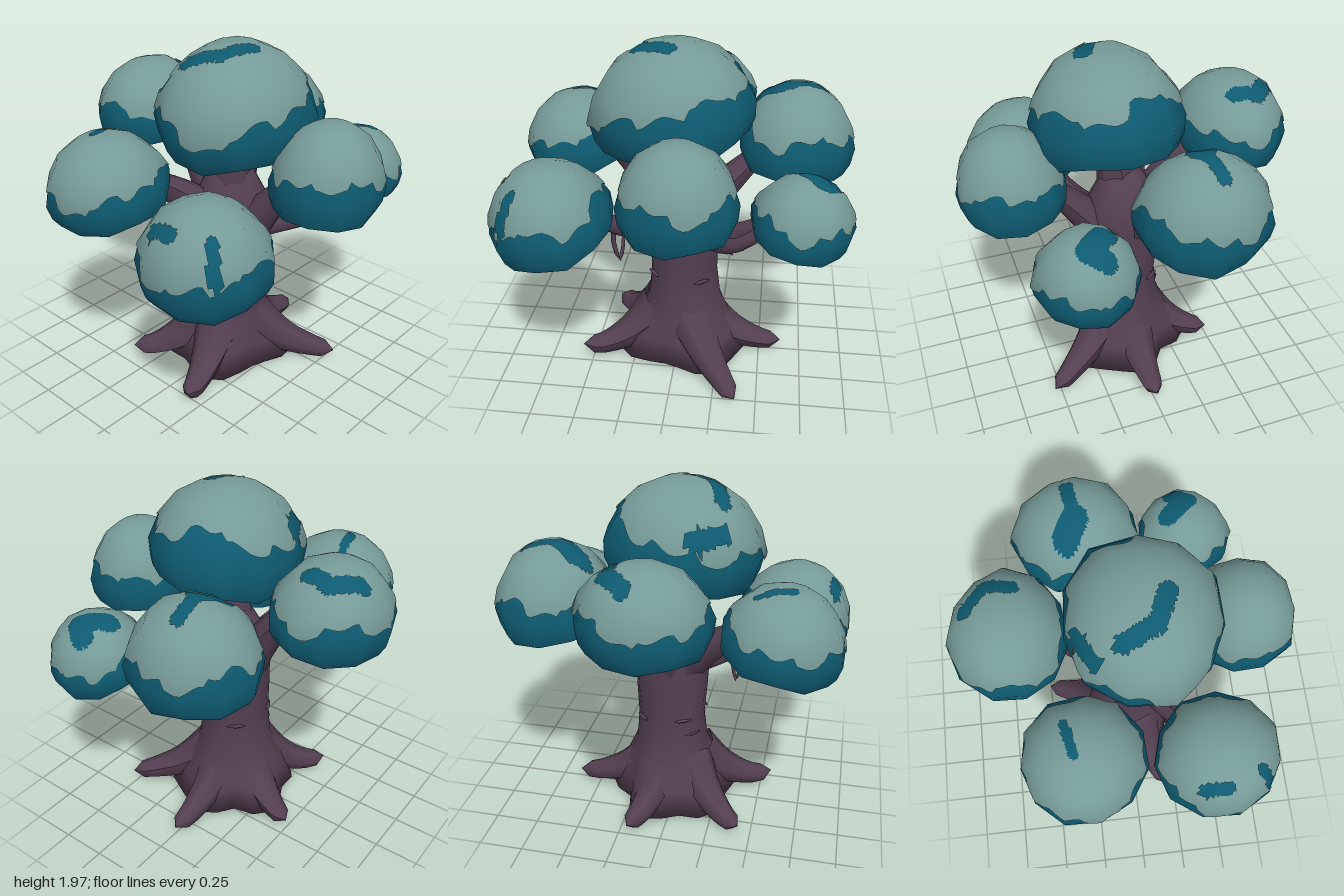
import * as THREE from 'three';

const bark = new THREE.MeshStandardMaterial({ color: 0x533f50, side: THREE.DoubleSide });
bark.name = 'bark';
const leaf = new THREE.MeshStandardMaterial({ color: 0x0e5b72, side: THREE.DoubleSide });
leaf.name = 'deepTealLeaf';
const pale = new THREE.MeshStandardMaterial({ color: 0x759a97, side: THREE.DoubleSide });
pale.name = 'paleLeaf';

// seeded random numbers
function seeded(seed) {
  let s = seed * 7919 + 13;
  return () => (s = (s * 16807) % 2147483647) / 2147483647;
}

function part(name, geometry, material) {
  const mesh = new THREE.Mesh(geometry, material);
  mesh.name = name;
  return mesh;
}

// closed rings from top to bottom; point(i, j) gives a position, keep(point) may leave gaps
function rings(rows, cols, point, keep = () => true) {
  const pos = [], index = [], pts = [];
  for (let i = 0; i <= rows; i++) for (let j = 0; j < cols; j++) {
    const p = point(i, j);
    pts.push(p);
    pos.push(p.x, p.y, p.z);
  }
  for (let i = 0; i < rows; i++) for (let j = 0; j < cols; j++) {
    const a = i * cols + j, c = i * cols + (j + 1) % cols, b = a + cols, d = c + cols;
    const mid = pts[a].clone().add(pts[d]).multiplyScalar(0.5);
    if (keep(mid)) index.push(a, c, b, c, d, b);
  }
  const g = new THREE.BufferGeometry();
  g.setAttribute('position', new THREE.Float32BufferAttribute(pos, 3));
  g.setIndex(index);
  g.computeVertexNormals();
  return g;
}

// tapered tube through points, closed to a blunt tip, flattened on a floor
function limb(name, points, r0, r1, floor = -1, sides = 7) {
  const curve = new THREE.CatmullRomCurve3(points.map(p => new THREE.Vector3(...p)));
  const n = 9, g = new THREE.TubeGeometry(curve, n, 1, sides);
  const pos = g.attributes.position, v = new THREE.Vector3();
  for (let k = 0; k < pos.count; k++) {
    const i = Math.floor(k / (sides + 1)), c = curve.getPointAt(i / n);
    const r = i === n ? 0.001 : THREE.MathUtils.lerp(r0, r1, Math.pow(i / (n - 1), 0.8));
    v.fromBufferAttribute(pos, k).sub(c).multiplyScalar(r).add(c);
    pos.setXYZ(k, v.x, Math.max(v.y, floor), v.z);
  }
  g.computeVertexNormals();
  return part(name, g, bark);
}

// roots: tip x, tip z, tip height, floor
const ROOTS = [
  [0.63, -0.01, 0.08, 0.04], [0.38, 0.54, 0.06, 0], [-0.56, 0.2, 0.1, 0.03],
  [-0.43, -0.38, 0.09, 0.03], [0.2, -0.5, 0.08, 0.02],
];

function trunk() {
  const group = new THREE.Group();
  group.name = 'trunk';
  // radius and height of each ring, with the base swelling toward the roots
  const profile = [[0.01, 1.32], [0.12, 1.25], [0.2, 1.1], [0.21, 0.98], [0.205, 0.8], [0.195, 0.6],
    [0.205, 0.42], [0.225, 0.3], [0.25, 0.18], [0.27, 0.04], [0.01, 0.04]];
  const angles = ROOTS.map(r => Math.atan2(r[1], r[0]));
  group.add(part('trunkBody', rings(profile.length - 1, 20, (i, j) => {
    const [r, y] = profile[i], a = j / 20 * Math.PI * 2;
    const lobe = Math.max(...angles.map(t => Math.cos(a - t))) ** 8;
    const flare = r > 0.1 ? lobe * 0.13 * Math.max(0, 1 - y / 0.45) : 0;
    const R = r * (1 + 0.04 * Math.sin(3 * a + y * 4)) + flare;
    return new THREE.Vector3(0.03 + R * Math.cos(a), y, R * Math.sin(a));
  }), bark));

  for (const [x, z, y, floor] of ROOTS) {
    group.add(limb('root', [[x * 0.2, 0.3, z * 0.2], [x * 0.5, 0.16, z * 0.5],
      [x * 0.8, 0.09, z * 0.8], [x, y, z]], 0.15, 0.055, floor));
  }

  // bark slits
  for (const [a, y] of [[0.9, 0.58], [2.5, 0.6], [3.9, 0.53], [4.2, 0.63], [5.6, 0.6]]) {
    const slit = part('barkSlit', new THREE.SphereGeometry(1, 8, 4), bark);
    slit.scale.set(0.055, 0.009, 0.014);
    slit.position.set(0.03 + 0.2 * Math.cos(a), y, 0.2 * Math.sin(a));
    slit.rotation.y = Math.PI / 2 - a;
    group.add(slit);
  }
  return group;
}

function branches() {
  const group = new THREE.Group();
  group.name = 'branches';
  const list = [
    [[[0.02, 1, 0], [0, 1.3, 0.03], [-0.02, 1.72, 0.08]], 0.16, 0.06],
    [[[0.03, 0.92, -0.06], [0.03, 1.2, -0.23], [0.04, 1.55, -0.52]], 0.14, 0.045],
    [[[0.08, 0.92, -0.04], [0.3, 1.13, -0.13], [0.6, 1.42, -0.22]], 0.14, 0.04],
    [[[-0.03, 0.95, -0.04], [-0.25, 1.15, -0.15], [-0.55, 1.36, -0.27]], 0.14, 0.04],
    [[[0.03, 0.82, 0.06], [0.05, 1.08, 0.26], [0.07, 1.42, 0.55]], 0.15, 0.045],
    [[[-0.05, 0.9, 0.06], [-0.3, 0.95, 0.2], [-0.56, 1.18, 0.38]], 0.09, 0.03],
    [[[0.1, 0.86, 0.08], [0.35, 0.98, 0.25], [0.64, 1.22, 0.38]], 0.09, 0.03],
    [[[0.15, 0.86, 0.12], [0.36, 1, 0.42], [0.6, 1.22, 0.46]], 0.06, 0.03],
    [[[0.2, 0.87, 0.1], [0.28, 0.84, 0.16], [0.33, 0.8, 0.2]], 0.03, 0.01],
  ];
  for (const [pts, r0, r1] of list) group.add(limb('branch', pts, r0, r1));
  // small drooping twig loop
  group.add(limb('hangingTwig', [[-0.34, 0.94, 0.22], [-0.345, 0.85, 0.21], [-0.315, 0.73, 0.2],
    [-0.295, 0.8, 0.2], [-0.29, 0.9, 0.19]], 0.016, 0.01, -1, 5));
  return group;
}

// dome profile: radius and height, crown to rim
const DOME = [[0, 1], [0.34, 0.95], [0.64, 0.81], [0.88, 0.57], [1, 0.33], [0.97, 0.14], [0.88, 0]];

function canopy({ at, size, tilt, cap, lean = 0, patches = [] }, id) {
  const group = new THREE.Group();
  group.name = 'canopy' + (id + 1);
  const rand = seeded(id + 1), sides = 11;
  const corners = Array.from({ length: sides }, () => ({ r: 0.95 + 0.08 * rand(), drop: 0.1 * (rand() - 0.5) }));
  const phase = rand() * 6;
  const [rx, h, rz] = size;

  // point on the faceted dome: t runs down the profile, s around the sides
  const corner = (t, k) => {
    const i = Math.min(Math.floor(t), DOME.length - 2), f = t - i;
    const r = THREE.MathUtils.lerp(DOME[i][0], DOME[i + 1][0], f) * corners[k % sides].r;
    const y = THREE.MathUtils.lerp(DOME[i][1], DOME[i + 1][1], f) + corners[k % sides].drop * Math.max(0, t - 2) / 4;
    const a = k / sides * Math.PI * 2 + phase;
    return new THREE.Vector3(r * rx * Math.cos(a), (y - 0.5) * h, r * rz * Math.sin(a));
  };
  const dome = (t, s) => corner(t, Math.floor(s)).lerp(corner(t, Math.floor(s) + 1), s % 1);
  // rounded shading over the low-poly form
  const soften = g => {
    const p = g.attributes.position, n = new THREE.Vector3();
    for (let i = 0; i < p.count; i++) {
      n.set(p.getX(i) / rx ** 2, (p.getY(i) + 0.25 * h) / (0.75 * h) ** 2, p.getZ(i) / rz ** 2).normalize();
      g.attributes.normal.setXYZ(i, n.x, n.y, n.z);
    }
    return g;
  };
  group.add(part('leafDome', soften(rings(DOME.length - 1, sides, (i, j) => dome(i, j))), leaf));

  // pale cap with a ragged edge and gaps where the darker leaves show
  const edge = a => cap + lean * Math.cos(a) + 0.22 * Math.sin(3 * a + id) + 0.17 * Math.sign(Math.sin(5 * a + id * 2))
    + 0.12 * Math.sin(11 * a + id * 3);
  const segments = patches.flatMap(({ w, path }) => path.slice(1).map((p, k) => ({
    w, line: new THREE.Line3(new THREE.Vector3(path[k][0] - at[0], 0, path[k][1] - at[2]),
      new THREE.Vector3(p[0] - at[0], 0, p[1] - at[2])) })));
  const near = new THREE.Vector3();
  const keep = p => segments.every(({ line, w }) => {
    const flat = new THREE.Vector3(p.x, 0, p.z);
    return line.closestPointToPoint(flat, true, near).distanceTo(flat) > w;
  });
  const rows = 28, cols = sides * 7;
  group.add(part('paleCap', soften(rings(rows, cols, (i, j) => {
    const s = j / 7, a = s / sides * Math.PI * 2 + phase;
    return dome(i / rows * edge(a), s).multiplyScalar(1.025);
  }, keep)), pale));

  group.position.set(...at);
  group.rotation.set(tilt[1], 0, -tilt[0]);
  return group;
}

// tilt leans each dome toward x and z; patches follow paths of x and z
const CANOPIES = [
  { at: [-0.03, 1.72, 0.08], size: [0.46, 0.54, 0.43], tilt: [-0.12, 0.02], cap: 3.4, lean: -0.45,
    patches: [{ w: 0.045, path: [[-0.22, -0.05], [-0.15, 0.12], [0, 0.18]] }, { w: 0.03, path: [[-0.28, -0.18], [-0.12, -0.27]] }] },
  { at: [0.04, 1.55, -0.63], size: [0.36, 0.42, 0.32], tilt: [0, -0.08], cap: 3.5,
    patches: [{ w: 0.04, path: [[0.09, -0.79], [0.21, -0.68], [0.19, -0.55]] }] },
  { at: [0.65, 1.44, -0.22], size: [0.335, 0.48, 0.36], tilt: [0.08, -0.04], cap: 3.4,
    patches: [{ w: 0.07, path: [[0.47, -0.26], [0.56, -0.2]] }, { w: 0.035, path: [[0.56, -0.2], [0.76, -0.23]] }] },
  { at: [0.7, 1.23, 0.41], size: [0.275, 0.36, 0.275], tilt: [0.13, 0.05], cap: 3.5,
    patches: [{ w: 0.06, path: [[0.67, 0.31], [0.76, 0.42], [0.81, 0.36]] }] },
  { at: [0.07, 1.43, 0.64], size: [0.315, 0.47, 0.3], tilt: [0, 0.06], cap: 3.4 },
  { at: [-0.65, 1.19, 0.43], size: [0.335, 0.46, 0.35], tilt: [-0.25, 0.08], cap: 3.4,
    patches: [{ w: 0.035, path: [[-0.82, 0.3], [-0.82, 0.41]] }, { w: 0.03, path: [[-0.74, 0.6], [-0.82, 0.67]] }] },
  { at: [-0.63, 1.35, -0.3], size: [0.34, 0.42, 0.335], tilt: [-0.2, -0.06], cap: 3.5,
    patches: [{ w: 0.025, path: [[-0.61, -0.32], [-0.45, -0.36]] }] },
];

export function createModel() {
  const model = new THREE.Group();
  model.name = 'tree';
  model.add(trunk(), branches(), ...CANOPIES.map(canopy));
  return model;
}
